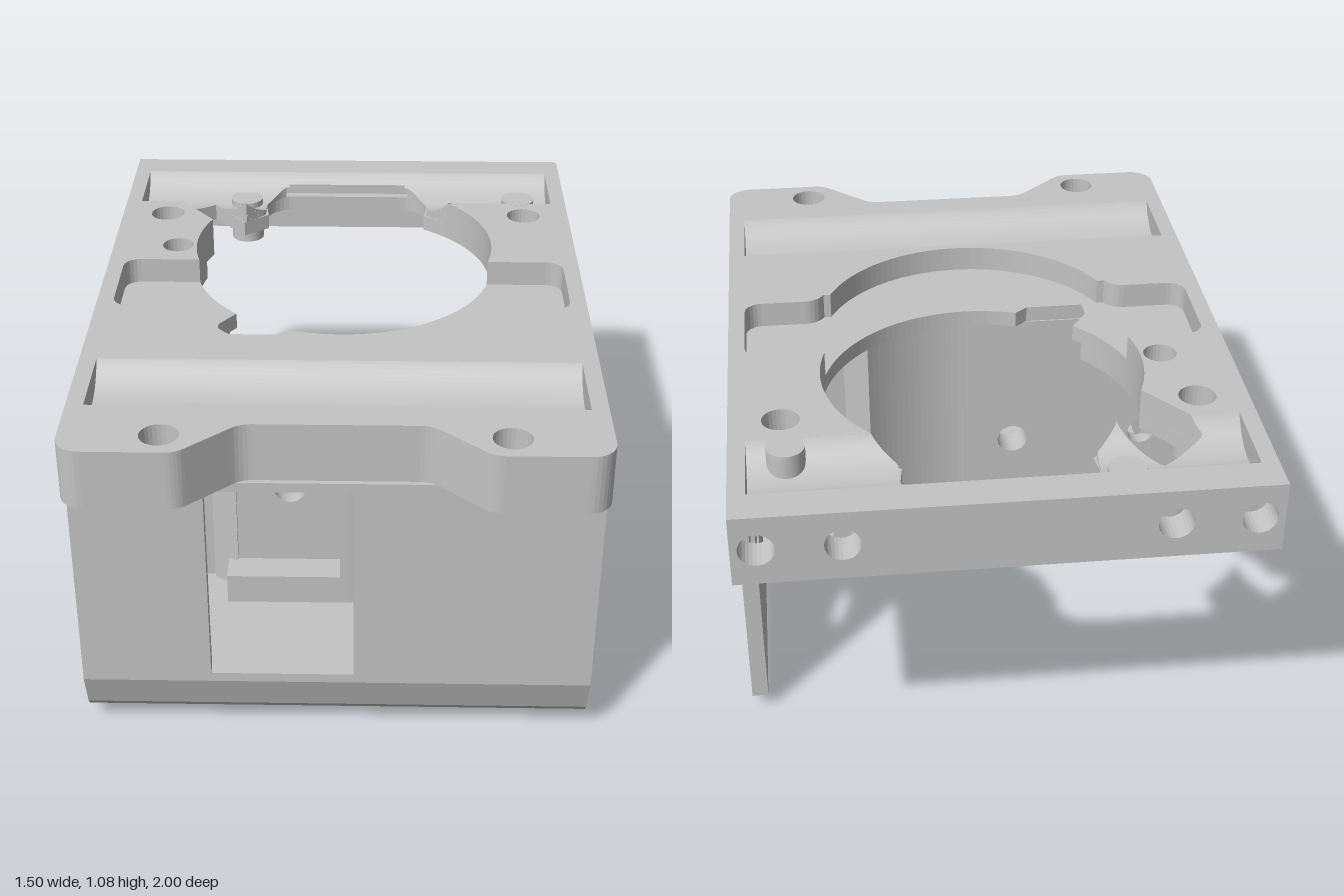
import * as THREE from 'three';

const grey = new THREE.MeshStandardMaterial({ color: 0xc4c4c4 });
grey.name = 'grey plastic';
grey.side = THREE.DoubleSide;

const arc = (cx, cy, r, a0, a1, n = 32) => Array.from({ length: n + 1 }, (_, i) => {
  const a = a0 + (a1 - a0) * i / n;
  return [cx + r * Math.cos(a), cy + r * Math.sin(a)];
});
const rect = (x0, y0, x1, y1) => [[x0, y0], [x1, y0], [x1, y1], [x0, y1]];
const disc = (x, y, r) => arc(x, y, r, 0, Math.PI * 2, 28).slice(0, -1);
const hexagon = (x, y, r) => arc(x, y, r, 0, Math.PI * 2, 6).slice(0, -1);
const toVectors = pts => pts.map(p => new THREE.Vector2(p[0], p[1]));

function extrude(pts, holes, depth) {
  const shape = new THREE.Shape(toVectors(pts));
  for (const h of holes) shape.holes.push(new THREE.Path(toVectors(h)));
  return new THREE.ExtrudeGeometry(shape, { depth, bevelEnabled: false });
}
// Slabs drawn in (x, z), (x, y) and (z, y)
const slabY = (pts, holes, y0, y1) => extrude(pts, holes, y1 - y0).rotateX(Math.PI / 2).translate(0, y1, 0);
const slabZ = (pts, holes, z0, z1) => extrude(pts, holes, z1 - z0).translate(0, 0, z0);
const slabX = (pts, holes, x0, x1) => extrude(pts, holes, x1 - x0).rotateY(-Math.PI / 2).translate(x1, 0, 0);

// Plate outline with rounded front corners and a front notch
const plateOutline = zBack => [
  [-0.75, zBack], [0.75, zBack],
  ...arc(0.68, 0.93, 0.07, 0, Math.PI / 2, 8),
  ...arc(0.45, 0.93, 0.07, Math.PI / 2, Math.PI * 0.75, 5),
  ...arc(0.23, 0.93, 0.08, -Math.PI * 0.25, -Math.PI / 2, 5),
  ...arc(-0.23, 0.93, 0.08, -Math.PI / 2, -Math.PI * 0.75, 5),
  ...arc(-0.45, 0.93, 0.07, Math.PI * 0.25, Math.PI / 2, 5),
  ...arc(-0.68, 0.93, 0.07, Math.PI / 2, Math.PI, 8),
];

// Round opening with its back notch, angled slot and small front notch
const mainOpening = [
  ...arc(0, -0.3, 0.48, -0.973, 1.911, 60),
  [-0.2, 0.185], [-0.38, 0.185], [-0.38, 0.12],
  ...arc(0, -0.3, 0.48, 2.327, 3.53, 24),
  [-0.59, -0.67], [-0.46, -0.77], [-0.35, -0.635], [-0.27, -0.7],
  ...arc(-0.19, -0.77, 0.09, Math.PI, Math.PI * 1.5, 8),
  ...arc(0.19, -0.77, 0.09, Math.PI * 1.5, Math.PI * 2, 8),
];

// Opening, stepped recess and rear trough joined together
const recessOpening = [
  [-0.7, -0.89], [0.7, -0.89], [0.7, -0.63],
  ...arc(0, -0.3, 0.48, -0.757, 0.274, 24),
  ...arc(0.65, -0.12, 0.05, -Math.PI / 2, 0, 6),
  ...arc(0.65, 0.105, 0.05, 0, Math.PI / 2, 6),
  ...arc(0.51, 0.22, 0.065, -Math.PI / 2, -2.7, 5),
  ...arc(0, 0, 0.47, 0.42, Math.PI - 0.42, 48),
  ...arc(-0.51, 0.22, 0.065, 2.7 - Math.PI, -Math.PI / 2, 5),
  ...arc(-0.65, 0.105, 0.05, Math.PI / 2, Math.PI, 6),
  ...arc(-0.65, -0.12, 0.05, Math.PI, Math.PI * 1.5, 6),
  ...arc(0, -0.3, 0.48, 2.868, 3.53, 14),
  [-0.56, -0.63], [-0.7, -0.63],
];

// Material left in the rear trough at a given depth
function rearSpans(z) {
  if (z < -0.86) return [[-0.7, 0.7]];
  const r = z < -0.7 ? 0.19 + 0.09 * Math.sqrt(Math.min(1, (z + 0.86) / 0.09)) : 0.28 + (z + 0.7);
  if (z < -0.77) return [[-0.7, -r], [r, 0.7]];
  const left = z < -0.67 ? -0.46 - 1.3 * (z + 0.77) : -0.59 + 0.79 * (z + 0.67);
  const right = -0.46 + 0.846 * (z + 0.77);
  return [[-0.7, left], [right, Math.max(right, -r)], [r, 0.7]];
}

// Concave groove surface with closed ends, from cross-sections along z
function groove(z0, z1, spansAt, n = 28) {
  const top = [], ends = [], half = (z1 - z0) / 2, mid = z0 + half;
  const radius = (half * half + 0.075 * 0.075) / 0.15;
  const height = z => 1.005 + radius - Math.sqrt(radius * radius - (z - mid) ** 2);
  const quad = (out, a, b, c, d) => out.push(...a, ...b, ...c, ...a, ...c, ...d);
  const normals = [];
  for (let i = 0; i < n; i++) {
    const za = z0 + (z1 - z0) * i / n, zb = z0 + (z1 - z0) * (i + 1) / n;
    const ya = height(za), yb = height(zb), zm = (za + zb) / 2;
    const sa = spansAt(za + 1e-4), sb = spansAt(zb - 1e-4), sm = spansAt(zm);
    const same = sa.length === sm.length && sb.length === sm.length;
    sm.forEach((s, k) => {
      const A = same ? sa[k] : s, B = same ? sb[k] : s;
      quad(top, [A[0], ya, za], [B[0], yb, zb], [B[1], yb, zb], [A[1], ya, za]);
      const na = [0, (radius + 1.005 - ya) / radius, (mid - za) / radius];
      const nb = [0, (radius + 1.005 - yb) / radius, (mid - zb) / radius];
      quad(normals, na, nb, nb, na);
      quad(ends, [A[1], ya, za], [B[1], yb, zb], [B[1], 1, zb], [A[1], 1, za]);
      quad(ends, [A[0], 1, za], [B[0], 1, zb], [B[0], yb, zb], [A[0], ya, za]);
    });
  }
  const make = p => new THREE.BufferGeometry().setAttribute('position', new THREE.Float32BufferAttribute(p, 3));
  const surface = make(top).setAttribute('normal', new THREE.Float32BufferAttribute(normals, 3));
  const endFaces = make(ends);
  endFaces.computeVertexNormals();
  return [surface, endFaces];
}

export function createModel() {
  const model = new THREE.Group();
  model.name = 'housing';
  const add = (name, geometry) => {
    const mesh = new THREE.Mesh(geometry, grey);
    mesh.name = name;
    model.add(mesh);
  };
  const box = (name, x0, y0, z0, x1, y1, z1) => add(name,
    new THREE.BoxGeometry(x1 - x0, y1 - y0, z1 - z0).translate((x0 + x1) / 2, (y0 + y1) / 2, (z0 + z1) / 2));
  const post = (name, x, z, r, y0, y1) => add(name, new THREE.CylinderGeometry(r, r, y1 - y0, 28).translate(x, (y0 + y1) / 2, z));

  // Top plate in layers
  const screwHoles = [[-0.475, 0.91], [0.475, 0.91], [-0.6, -0.53], [0.6, -0.53]].map(p => disc(p[0], p[1], 0.055));
  add('plateTop', slabY(plateOutline(-0.9),
    [recessOpening, rect(-0.7, 0.49, 0.7, 0.755), disc(-0.54, -0.28, 0.05), ...screwHoles], 1, 1.08));
  add('plateFloor', slabY(plateOutline(-0.9), [mainOpening], 0.95, 1));
  add('plateFrontSlab', slabY(plateOutline(0.2), [], 0.9, 0.95));
  groove(-0.89, -0.63, rearSpans).forEach(g => add('rearTrough', g));
  groove(0.49, 0.755, () => [[-0.7, 0.7]]).forEach(g => add('frontTrough', g));

  // Rear bar with four holes, side rims and opening lip
  add('rearBar', slabZ(rect(-0.75, 0.865, 0.75, 1.08),
    [-0.68, -0.45, 0.45, 0.68].map(x => disc(x, 0.975, 0.05)), -1, -0.9));
  box('sideRim', 0.7, 0.865, -0.9, 0.75, 0.95, -0.52);
  box('sideRim', -0.75, 0.865, -0.9, -0.7, 0.95, 0.2);
  add('openingLip', slabY([...arc(0, -0.3, 0.48, 2.4, 3.4), ...arc(0, -0.3, 0.53, 3.4, 2.4)], [], 0.89, 0.95));

  // Screw posts
  post('screwPost', -0.35, -0.79, 0.055, 0.88, 1.025);
  post('screwPost', 0.59, -0.67, 0.055, 0.951, 1.081);
  post('screwPost', -0.6, -0.53, 0.065, 0.89, 0.951);

  // Side walls sharing the chamfered front profile
  const sideProfile = zBack => [[zBack, 0.05], [0.77, 0.05], [0.805, 0.06], [0.825, 0.085], [0.865, 0.2], [0.865, 0.95], [zBack, 0.95]];
  add('windowSideWall', slabX(sideProfile(-0.52), [rect(0.07, 0.13, 0.83, 0.895), disc(-0.35, 0.49, 0.1)], 0.7, 0.75));
  const vents = [];
  [0.71, 0.515, 0.32].forEach((z, i) => {
    for (let k = 0; k < 3; k++) vents.push(hexagon(z, (i === 1 ? 0.68 : 0.785) - k * 0.213, i === 2 ? 0.1 : 0.108));
  });
  add('ventSideWall', slabX(sideProfile(0.18), vents, -0.75, -0.7));

  // Front wall with window, chamfer and floor
  add('frontWall', slabZ(rect(-0.75, 0.2, 0.75, 0.9), [rect(-0.37, 0.23, 0.05, 0.87)], 0.83, 0.865));
  add('frontChamfer', slabX([[0.865, 0.2], [0.825, 0.085], [0.805, 0.06], [0.77, 0.05], [0.4, 0.05],
    [0.4, 0.13], [0.79, 0.13], [0.83, 0.2]], [], -0.75, 0.75));
  const innerArc = arc(0, -0.3, 0.5, Math.PI / 2, 0.87, 16);
  add('rearFloor', slabY([[-0.75, 0.4], [-0.75, 0.18], [-0.33, 0.18], [-0.33, 0.36], [0, 0.36],
    ...innerArc, [0.45, 0.07], [0.75, 0.07], [0.75, 0.4]], [], 0.05, 0.13));

  // Inner rear wall, with the bottom pocket opening rearward
  add('innerWall', slabZ([[-0.75, 0.05], [-0.33, 0.05], [-0.33, 0.23], [0, 0.23], [0, 0.95], [-0.75, 0.95]],
    [disc(-0.16, 0.5, 0.05), disc(-0.6, 0.5, 0.045)], 0.18, 0.23));
  box('pocketTop', -0.33, 0.21, 0.18, 0, 0.23, 0.38);
  box('pocketFront', -0.36, 0.05, 0.36, 0, 0.23, 0.38);
  box('pocketSide', -0.36, 0.05, 0.2, -0.33, 0.23, 0.38);
  add('stepPanel', slabZ(rect(-0.33, 0.23, 0, 0.6), [disc(-0.16, 0.5, 0.05)], 0.23, 0.28));

  // Curved wall with a square niche above the pocket
  const bulge = (a0, a1) => [...arc(0, -0.3, 0.68, a0, a1, 14), [0.68 * Math.cos(a1), 0.2], [0.68 * Math.cos(a0), 0.2]];
  add('curvedWall', slabY([...innerArc, ...arc(0, -0.3, 0.68, 0.9, Math.PI / 2, 18)], [], 0.1, 0.95));
  add('curvedWallAboveNiche', slabY(bulge(Math.PI / 2, 2.22), [], 0.6, 0.95));
  add('curvedWallBesideNiche', slabY(bulge(2.077, 2.22), [], 0.1, 0.6));

  // Drilled flange
  add('flange', slabX(rect(0.08, 0.1, 0.235, 0.95), [disc(0.15, 0.22, 0.04), disc(0.15, 0.82, 0.04)], 0.4, 0.46));

  // C-shaped feet, open towards the sides
  const foot = [...arc(0.65, 0.553, 0.082, 1.05, Math.PI * 2 - 1.05, 24), ...arc(0.65, 0.553, 0.05, Math.PI * 2 - 0.6, 0.6, 24)];
  for (const s of [1, -1]) add('foot', slabY(foot.map(([x, z]) => [s * x, z]), [], 0, 0.06));
  return model;
}
